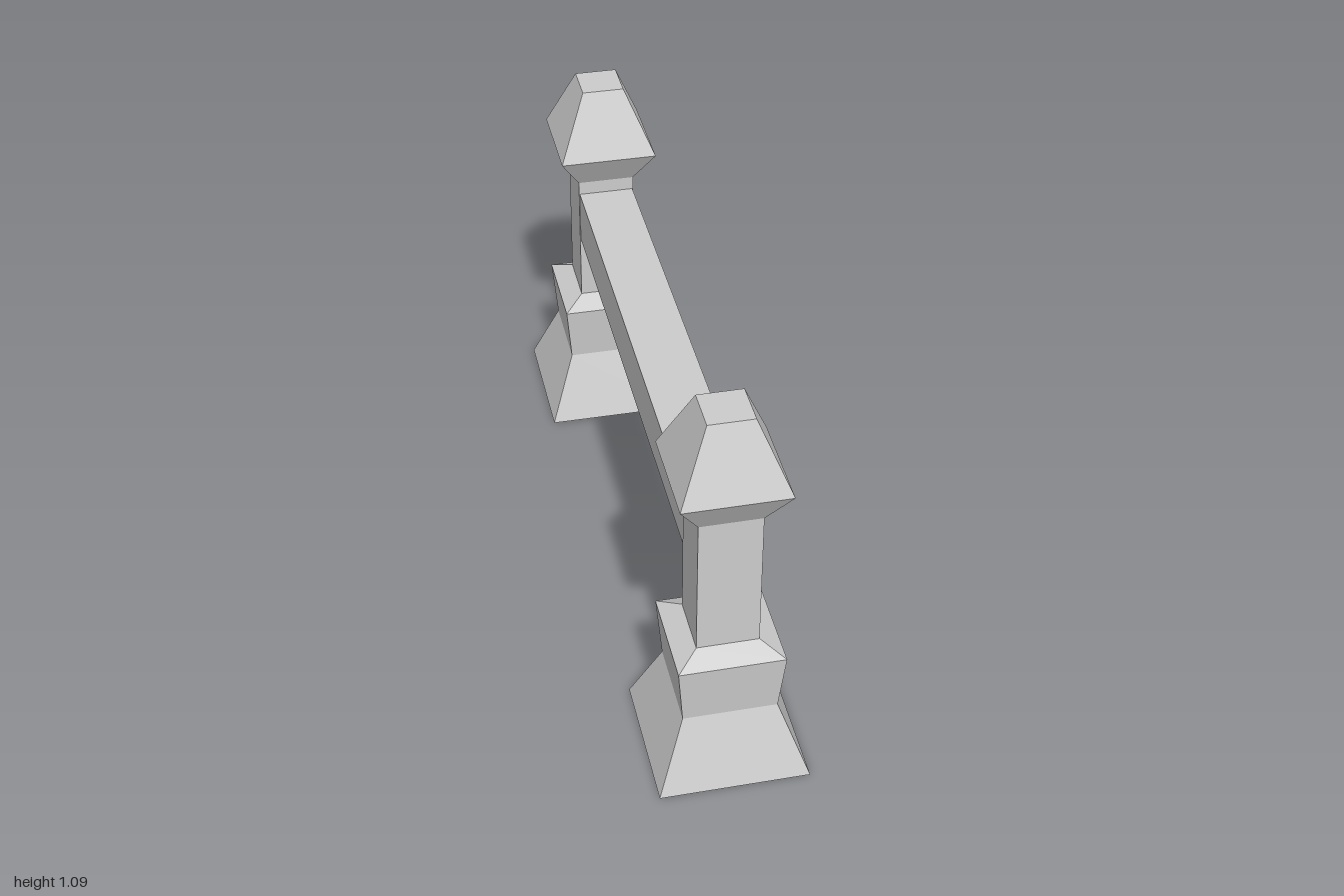
import * as THREE from 'three';

const material = new THREE.MeshStandardMaterial({
  color: 0xcccccc, flatShading: true, side: THREE.DoubleSide,
});

// Half-width and height up the square post: flared foot, collar, shaft, tapered cap
const profile = [
  [0.2, 0], [0.125, 0.2], [0.14, 0.37], [0.082, 0.4],
  [0.082, 0.8], [0.14, 0.9], [0.06, 1.09], [0, 1.09],
];

function createPost(name, z) {
  // Four-sided lathe turned so its flats face the axes; the foot is open below
  const points = profile.map(([w, y]) => new THREE.Vector2(w * Math.SQRT2, y));
  const post = new THREE.Mesh(new THREE.LatheGeometry(points, 4, Math.PI / 4), material);
  post.name = name;
  post.position.z = z;
  return post;
}

export function createModel() {
  const group = new THREE.Group();
  group.name = 'postAndRail';
  group.add(createPost('frontPost', 0.8), createPost('backPost', -0.8));

  // Rail joining the two shafts
  const rail = new THREE.Mesh(new THREE.BoxGeometry(0.16, 0.16, 1.44), material);
  rail.name = 'rail';
  rail.position.y = 0.68;
  group.add(rail);
  return group;
}
